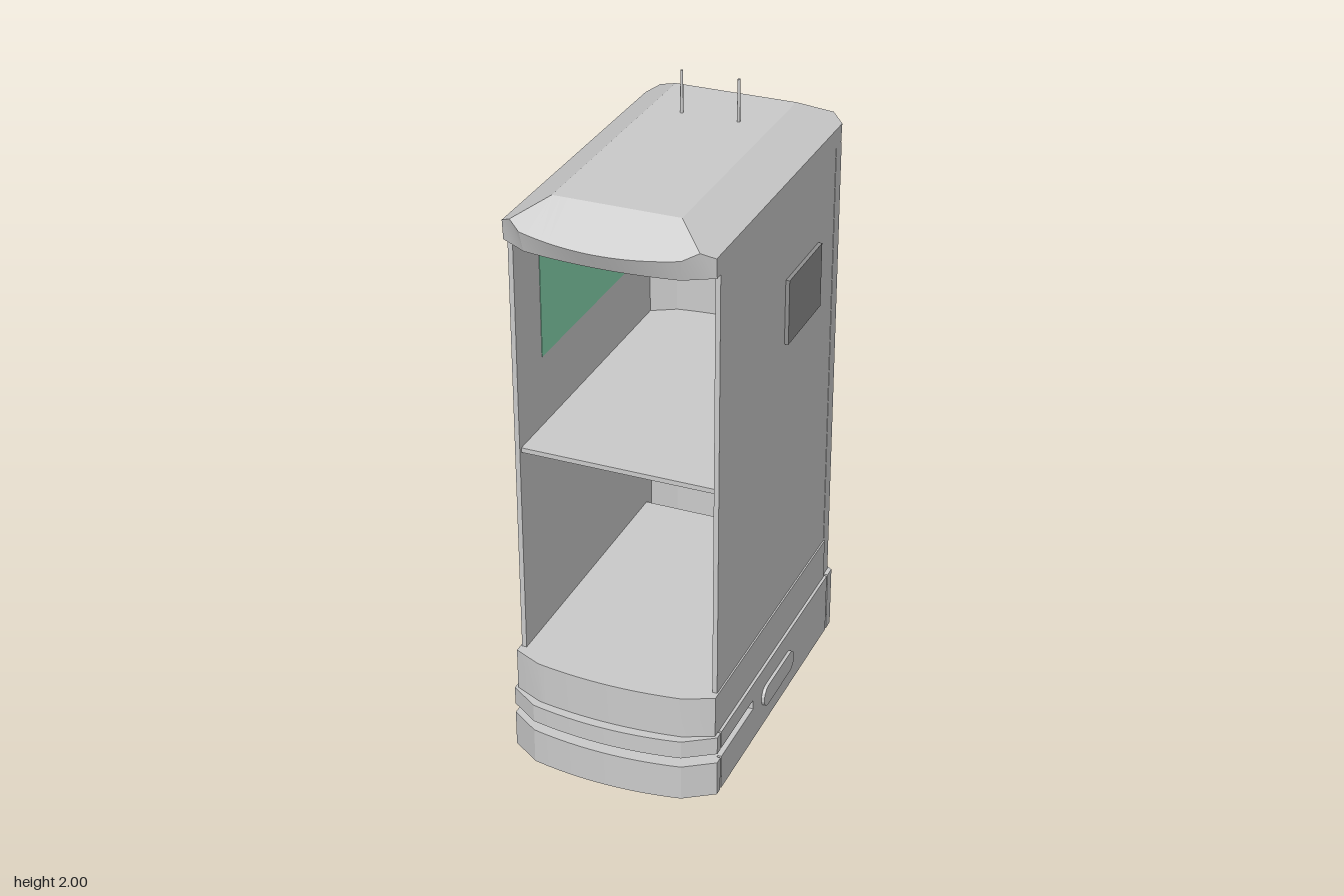
import * as THREE from 'three';
import { toCreasedNormals } from 'three/addons/utils/BufferGeometryUtils.js';

const grey = new THREE.MeshStandardMaterial({ color: 0xcccccc });
const dark = new THREE.MeshStandardMaterial({ color: 0x909090 });
const green = new THREE.MeshStandardMaterial({ color: 0x89dab2 });
const CREASE = 0.28;

// Rounded end of the plan, from +x to -x: side corner, bevel, shallow arc.
function endCap(hx, zc, bx, zb, zm, hip = 0) {
  const pts = [[hx, zc]];
  const h = [hx + (bx - hx) * hip, zc + (zb - zc) * hip];
  if (hip) pts.push(h);
  const n = 20;
  for (let i = 0; i <= n; i++) {
    const t = 1 - (2 * i) / n;
    pts.push([bx * t, zb + (zm - zb) * (1 - t * t)]);
  }
  if (hip) pts.push([-h[0], h[1]]);
  pts.push([-hx, zc]);
  return pts;
}
const back = (pts) => pts.map(([x, z]) => [-x, -z]);

// Shallow vertical groove in a side, listed from rear to front on +x.
const groove = (hx, z, w, d) => [[hx, z - w], [hx - d, z - w], [hx - d, z + w], [hx, z + w]];
const mirrored = (pts) => pts.map(([x, z]) => [-x, z]).reverse();

function mesh(name, geometry, material = grey) {
  const m = new THREE.Mesh(geometry, material);
  m.name = name;
  return m;
}

// Plan outline (x, z) extruded upward from y0 to y1.
function slab(name, pts, y0, y1) {
  const shape = new THREE.Shape(pts.map(([x, z]) => new THREE.Vector2(x, z)));
  const geo = new THREE.ExtrudeGeometry(shape, { depth: y1 - y0, bevelEnabled: false });
  geo.rotateX(Math.PI / 2).translate(0, y1, 0);
  return mesh(name, toCreasedNormals(geo, CREASE));
}

function box(name, x0, x1, y0, y1, z0, z1, material) {
  const geo = new THREE.BoxGeometry(x1 - x0, y1 - y0, z1 - z0);
  geo.translate((x0 + x1) / 2, (y0 + y1) / 2, (z0 + z1) / 2);
  return mesh(name, geo, material);
}

// Hipped roof: tapered lip below, four planes rising to a flat top.
function roof() {
  const hip = 0.467, px = 0.19, pz = 0.43, top = 1.87;
  const low = endCap(0.313, 0.485, 0.23, 0.532, 0.552, hip);
  const rim = endCap(0.313, 0.49, 0.235, 0.547, 0.573, hip);
  const a = [...low, ...back(low)].map(([x, z]) => [x, 1.74, z]);
  const b = [...rim, ...back(rim)].map(([x, z]) =>
    [x, top - 0.57 * Math.max(0, Math.abs(x) - px, Math.abs(z) - pz), z]);
  const clamp = THREE.MathUtils.clamp;
  const c = b.map(([x, , z]) => [clamp(x, -px, px), top, clamp(z, -pz, pz)]);
  const pos = [];
  const tri = (...ps) => {
    const [p, q, r] = ps.map((v) => new THREE.Vector3(...v));
    if (q.sub(p).cross(r.sub(p)).length() > 1e-9) ps.forEach((v) => pos.push(...v));
  };
  a.forEach((_, i) => {
    const j = (i + 1) % a.length;
    for (const [lo, hi] of [[a, b], [b, c]]) {
      tri(lo[i], hi[i], hi[j]);
      tri(lo[i], hi[j], lo[j]);
    }
    tri([0, 1.74, 0], a[i], a[j]);
    tri([0, top, 0], c[j], c[i]);
  });
  const geo = new THREE.BufferGeometry();
  geo.setAttribute('position', new THREE.Float32BufferAttribute(pos, 3));
  return mesh('roof', toCreasedNormals(geo, CREASE));
}

// Stadium-shaped plate on the flank.
function sidePlate(side) {
  const r = 0.035, l = 0.093;
  const s = new THREE.Shape();
  s.absarc(l, 0, r, -Math.PI / 2, Math.PI / 2);
  s.absarc(-l, 0, r, Math.PI / 2, Math.PI * 1.5);
  const geo = new THREE.ExtrudeGeometry(s, { depth: 0.022, bevelEnabled: false, curveSegments: 16 });
  geo.rotateY(side * Math.PI / 2);
  const m = mesh(side > 0 ? 'leftSidePlate' : 'rightSidePlate', toCreasedNormals(geo, 0.5));
  m.position.set(side * 0.315, 0.152, 0.002);
  return m;
}

function caster(x, z) {
  const g = new THREE.Group();
  g.name = 'caster';
  const wheel = mesh('wheel', new THREE.CylinderGeometry(0.03, 0.03, 0.032, 20).rotateZ(Math.PI / 2));
  wheel.position.y = 0.03;
  const mount = mesh('casterMount', new THREE.CylinderGeometry(0.035, 0.033, 0.02, 20));
  mount.position.y = 0.046;
  g.add(wheel, mount);
  g.position.set(x, 0, z);
  return g;
}

export function createModel() {
  const model = new THREE.Group();
  model.name = 'deliveryRobot';

  // Base with a sensor slot cut through its front
  const HX = 0.327;
  const baseEnd = endCap(HX, 0.49, 0.237, 0.55, 0.575);
  const rearSeam = groove(HX, -0.45, 0.004, 0.012);
  const frontSeam = groove(HX, 0.46, 0.004, 0.012);
  const flank = [...rearSeam, ...frontSeam];
  const full = [...baseEnd, ...mirrored(flank), ...back(baseEnd), ...flank];
  const cut = [[HX, 0.2], [-HX, 0.2], ...mirrored(rearSeam), ...back(baseEnd), ...rearSeam];
  model.add(
    slab('lowerBase', full, 0.05, 0.165),
    slab('baseBehindSlot', cut, 0.165, 0.197),
    slab('upperBase', full, 0.197, 0.255),
  );

  // Raised step that forms the cabinet floor
  const stepEnd = endCap(0.318, 0.485, 0.23, 0.525, 0.545);
  model.add(slab('cabinetFloor', [...stepEnd, [-0.318, -0.44], [0.318, -0.44]], 0.255, 0.39));

  // Thin wall around both sides and the rear, open at the front
  const outer = back(endCap(0.313, 0.49, 0.23, 0.537, 0.556));
  const inner = back(endCap(0.298, 0.48, 0.224, 0.522, 0.541));
  const wallSeam = groove(0.313, -0.443, 0.002, 0.006);
  model.add(slab('cabinetWall', [
    [-0.313, 0.46], ...mirrored(wallSeam), ...outer, ...wallSeam, [0.313, 0.46],
    [0.298, 0.46], ...[...inner].reverse(), [-0.298, 0.46],
  ], 0.255, 1.742));

  // Shelf following the inside of the wall
  model.add(slab('shelf', [[0.3, 0.45], [-0.3, 0.45], ...inner], 1.055, 1.07));

  model.add(roof());

  // Side screen and the tinted window opposite
  model.add(
    box('sideScreen', 0.31, 0.325, 1.29, 1.495, -0.31, -0.04, dark),
    box('sideWindow', -0.3145, -0.2965, 1.29, 1.61, -0.3, 0.3, green),
  );

  // Mirrored small parts
  for (const side of [1, -1]) {
    model.add(sidePlate(side));
    const antenna = mesh('antenna', new THREE.CylinderGeometry(0.004, 0.005, 0.14, 12));
    antenna.position.set(side * 0.088, 1.93, -0.232);
    model.add(antenna);
    for (const z of [0.3, -0.365]) model.add(caster(side * 0.222, z));
  }
  return model;
}
